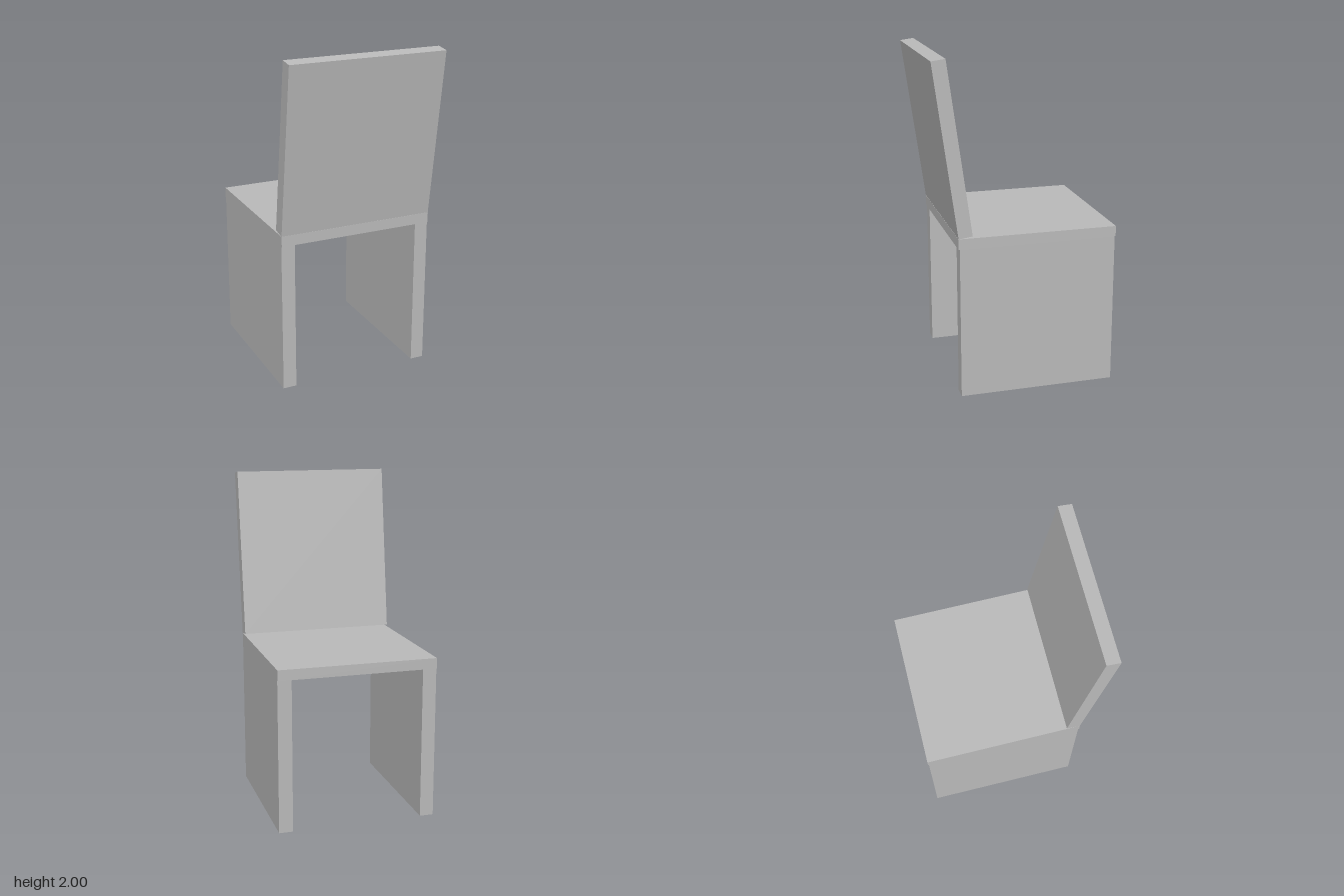
import * as THREE from 'three';

export function createModel() {
  const model = new THREE.Group();
  model.name = 'chair';
  const grey = new THREE.MeshStandardMaterial({ color: 0xb8b8b8 });
  grey.name = 'plain grey';

  const width = 0.954;
  const thickness = 0.083;

  function addPanel(name, size, position) {
    const mesh = new THREE.Mesh(new THREE.BoxGeometry(...size), grey);
    mesh.name = name;
    mesh.position.set(...position);
    model.add(mesh);
    return mesh;
  }

  // Solid side panels that serve as legs
  for (const [name, side] of [['leftLegPanel', 1], ['rightLegPanel', -1]]) {
    addPanel(name, [thickness, 0.915, 0.938], [side * (width - thickness) / 2, 0.4575, -0.071]);
  }

  // Seat slab, slightly overhanging the legs
  addPanel('seat', [width, 0.063, 0.951], [0, 0.9465, -0.0705]);

  // Backrest at the +z edge, leaning outwards
  const backrest = addPanel('backrest', [width, 1.02, thickness], [0, 1.489, 0.433]);
  backrest.rotation.x = THREE.MathUtils.degToRad(7.9);

  return model;
}
